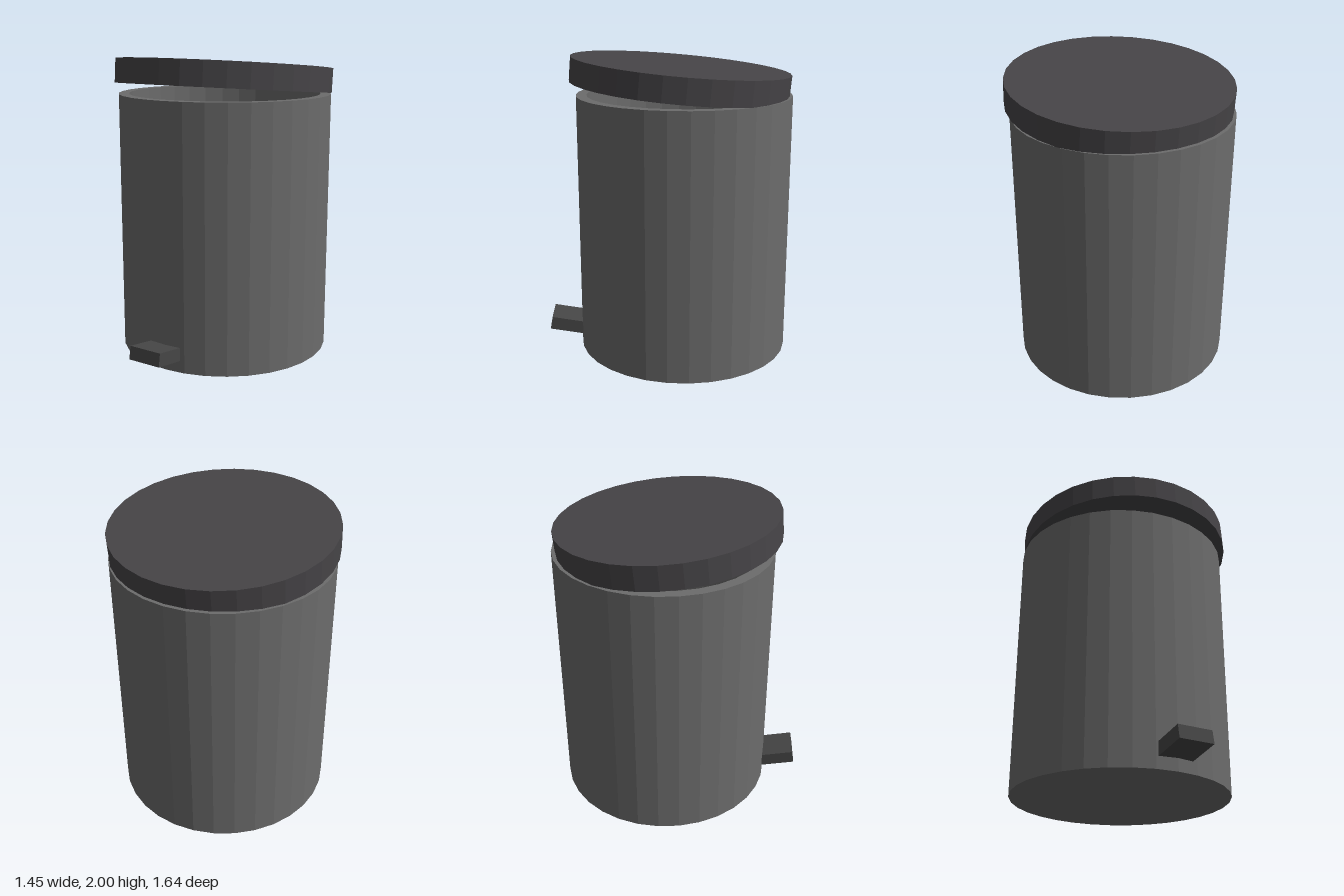
import * as THREE from 'three';

const SIDES = 32;
const rad = THREE.MathUtils.degToRad;

function part(name, geometry, color) {
  const mesh = new THREE.Mesh(
    geometry,
    new THREE.MeshStandardMaterial({ color, flatShading: true })
  );
  mesh.name = name;
  return mesh;
}

export function createModel() {
  const group = new THREE.Group();
  group.name = 'pedalBin';

  // Hollow drum: base, outer wall, rim, inner wall, floor
  const radius = 0.714, height = 1.742, wall = 0.07;
  const profile = [
    [0, 0], [radius, 0], [radius, height],
    [radius - wall, height], [radius - wall, 0.08], [0, 0.08],
  ].map(([r, y]) => new THREE.Vector2(r, y));
  const body = part('body', new THREE.LatheGeometry(profile, SIDES), 0x6c6c6c);
  body.position.set(-0.008, 0, -0.105);
  group.add(body);

  // Lid, slightly lifted at the front
  const lid = part('lid', new THREE.CylinderGeometry(0.725, 0.725, 0.16, SIDES), 0x464447);
  lid.position.set(0, 1.857, -0.078);
  lid.rotation.x = rad(-5);
  group.add(lid);

  // Foot pedal, tilted up and running into the drum
  const pedal = part('pedal', new THREE.BoxGeometry(0.232, 0.088, 0.4), 0x464646);
  pedal.position.set(-0.017, 0.128, 0.62);
  pedal.rotation.x = rad(-10);
  group.add(pedal);

  return group;
}
